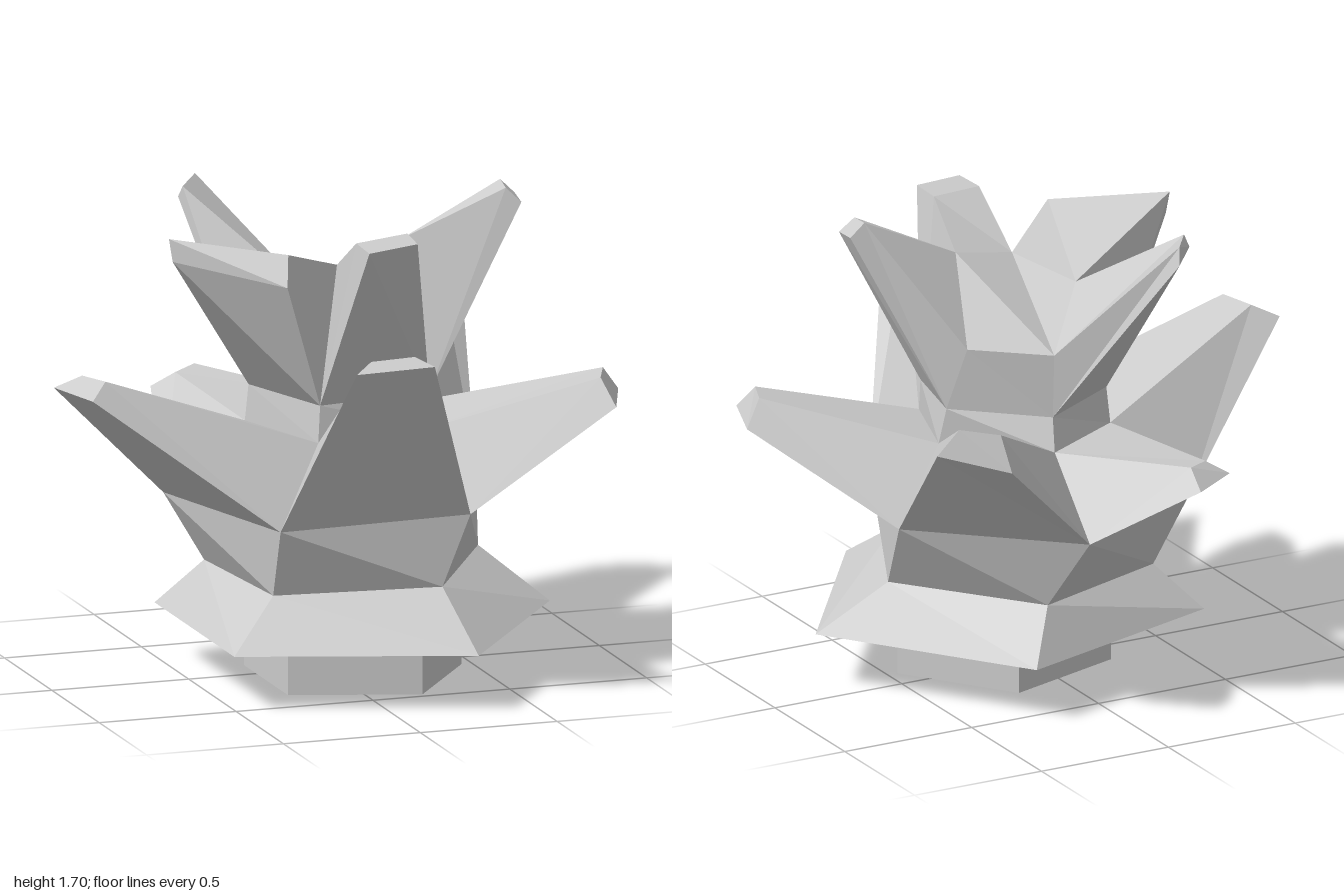
import * as THREE from 'three';

const material = new THREE.MeshStandardMaterial({ color: 0xcccccc, flatShading: true });

// Mesh from flat polygons, each a list of [x, y, z] corners
function facets(name, polygons) {
  const pos = [];
  for (const p of polygons)
    for (let i = 1; i < p.length - 1; i++) pos.push(...p[0], ...p[i], ...p[i + 1]);
  const g = new THREE.BufferGeometry();
  g.setAttribute('position', new THREE.Float32BufferAttribute(pos, 3));
  g.computeVertexNormals();
  const mesh = new THREE.Mesh(g, material);
  mesh.name = name;
  return mesh;
}

// Regular pentagon at height y
const pentagon = (r, y, cx, cz, turn = 0) => Array.from({ length: 5 }, (_, i) => {
  const a = turn + (i * Math.PI * 2) / 5;
  return [cx + r * Math.cos(a), y, cz + r * Math.sin(a)];
});

const wall = (lo, hi, i) => [lo[i], hi[i], hi[(i + 1) % 5], lo[(i + 1) % 5]];
const band = (lo, hi) => lo.map((_, i) => wall(lo, hi, i));

// Branch: side i between two rings, pulled out to a small four-cornered tip
function branch(name, lo, hi, i, [l0, l1, u1, u0]) {
  const j = (i + 1) % 5;
  return facets(name, [
    [lo[i], l0, l1, lo[j]],
    [u0, hi[i], hi[j], u1],
    [l0, u0, u1, l1],
    [lo[i], hi[i], u0, l0],
    [lo[j], l1, u1, hi[j]],
  ]);
}

export function createModel() {
  const group = new THREE.Group();

  // Rings, from the foot up
  const foot = pentagon(0.395, 0, 0.067, 0.1);
  const trunkTop = pentagon(0.395, 0.2, 0.067, 0.1);
  const skirt = pentagon(0.718, 0.2, 0.067, 0.1);
  const waist = pentagon(0.5, 0.375, 0.063, 0.03, -0.085);
  waist.forEach((p) => { p[1] += (p[0] - 0.063) * 0.03; });
  const lowerRim = [[0.61, 0.645, -0.18], [0.36, 0.63, 0.49], [-0.32, 0.61, 0.45],
    [-0.51, 0.61, -0.24], [0.1, 0.64, -0.62]];
  const neckLow = [[0.41, 0.9, -0.1], [0.29, 0.89, 0.26], [-0.12, 0.87, 0.27],
    [-0.25, 0.87, -0.13], [0.09, 0.89, -0.35]];
  const neckTop = [[0.39, 1.03, -0.12], [0.3, 1.01, 0.23], [-0.11, 1, 0.26],
    [-0.24, 1, -0.12], [0.07, 1, -0.3]];
  const crown = [[0.33, 1.25, -0.16], [0.25, 1.52, 0.07], [0, 1.46, 0.12],
    [-0.13, 1.4, -0.1], [0.07, 1.23, -0.31]];

  // Trunk, skirt and the plain walls between the tiers
  group.add(facets('trunk', [...band(foot, trunkTop), foot]));
  group.add(facets('skirt', [...band(skirt, waist), skirt]));
  group.add(facets('lowerBody', band(waist, lowerRim)));
  group.add(facets('neck', band(neckLow, neckTop)));
  group.add(facets('crownTop', [[...crown].reverse(), wall(neckTop, crown, 4)]));

  // Five lower branches
  const lowerTips = [
    [[1, 0.96, 0.2], [0.91, 0.955, 0.44], [0.88, 1.045, 0.36], [0.93, 1.05, 0.24]],
    [[0.1, 1.26, 0.865], [-0.18, 1.25, 0.85], [-0.11, 1.28, 0.8], [0.05, 1.285, 0.8]],
    [[-0.94, 1.08, 0.26], [-1, 1.08, 0.02], [-0.91, 1.125, 0.06], [-0.87, 1.13, 0.19]],
    [[-0.38, 0.86, -0.75], [-0.2, 0.86, -0.87], [-0.21, 0.92, -0.78], [-0.3, 0.91, -0.72]],
    [[0.53, 1.05, -0.845], [0.74, 1.1, -0.69], [0.67, 1.195, -0.72], [0.55, 1.18, -0.8]],
  ];
  lowerTips.forEach((tip, i) => group.add(branch(`lowerBranch${i + 1}`, lowerRim, neckLow, i, tip)));

  // Four upper branches
  const upperTips = [
    [[0.67, 1.65, 0.06], [0.66, 1.64, 0.16], [0.61, 1.69, 0.14], [0.62, 1.7, 0.05]],
    [[0.16, 1.61, 0.51], [-0.03, 1.6, 0.55], [-0.03, 1.605, 0.41], [0.17, 1.615, 0.37]],
    [[-0.26, 1.45, 0.35], [-0.59, 1.51, 0.09], [-0.6, 1.59, 0.08], [-0.24, 1.555, 0.3]],
    [[-0.38, 1.6, -0.46], [-0.27, 1.59, -0.59], [-0.28, 1.65, -0.57], [-0.37, 1.64, -0.44]],
  ];
  upperTips.forEach((tip, i) => group.add(branch(`upperBranch${i + 1}`, neckTop, crown, i, tip)));

  return group;
}
